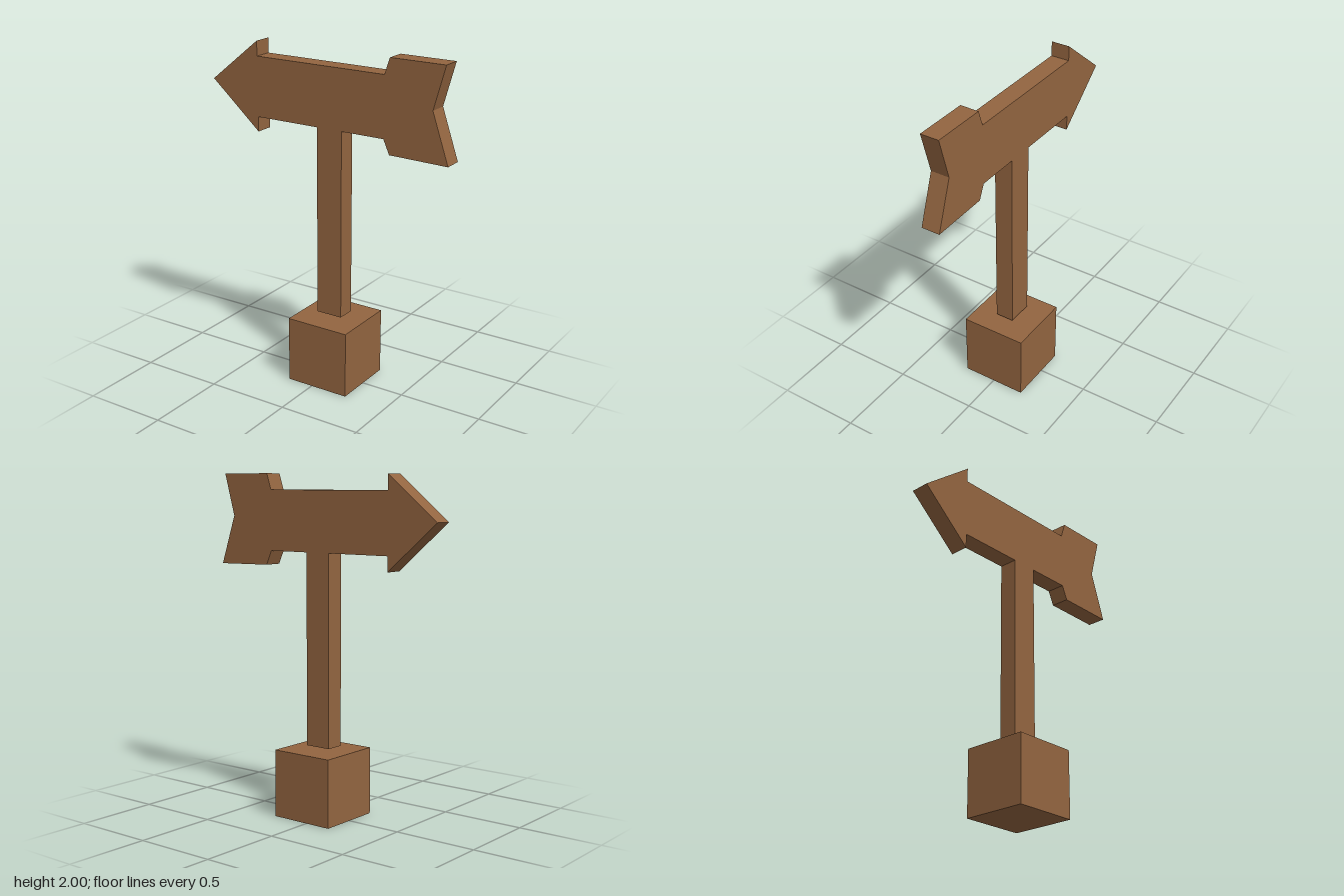
import * as THREE from 'three';

export function createModel() {
  const wood = new THREE.MeshStandardMaterial({ color: 0x936540 });
  wood.name = 'brown wood';
  const model = new THREE.Group();
  model.name = 'arrowSign';
  const depth = 0.112;

  const add = (name, geometry, x, y, z) => {
    const mesh = new THREE.Mesh(geometry, wood);
    mesh.name = name;
    mesh.position.set(x, y, z);
    model.add(mesh);
  };

  // Cube foot, with the post floating just above it
  add('base', new THREE.BoxGeometry(0.396, 0.4, 0.396), 0.037, 0.2, 0);
  add('post', new THREE.BoxGeometry(0.163, 1.13, depth), 0.03, 0.985, 0);

  // Arrow board: pointed head at -x, slightly uneven notched tail at +x
  const outline = [
    [-0.777, 1.737], [-0.459, 1.462], [-0.459, 1.55],
    [0.38, 1.55], [0.418, 1.466], [0.776, 1.46],
    [0.676, 1.75], [0.746, 2], [0.412, 2],
    [0.38, 1.905], [-0.459, 1.905], [-0.459, 1.993],
  ].map(([x, y]) => new THREE.Vector2(x, y));
  const board = new THREE.ExtrudeGeometry(new THREE.Shape(outline), { depth, bevelEnabled: false });
  add('arrowBoard', board, 0, 0, -depth / 2);

  return model;
}
